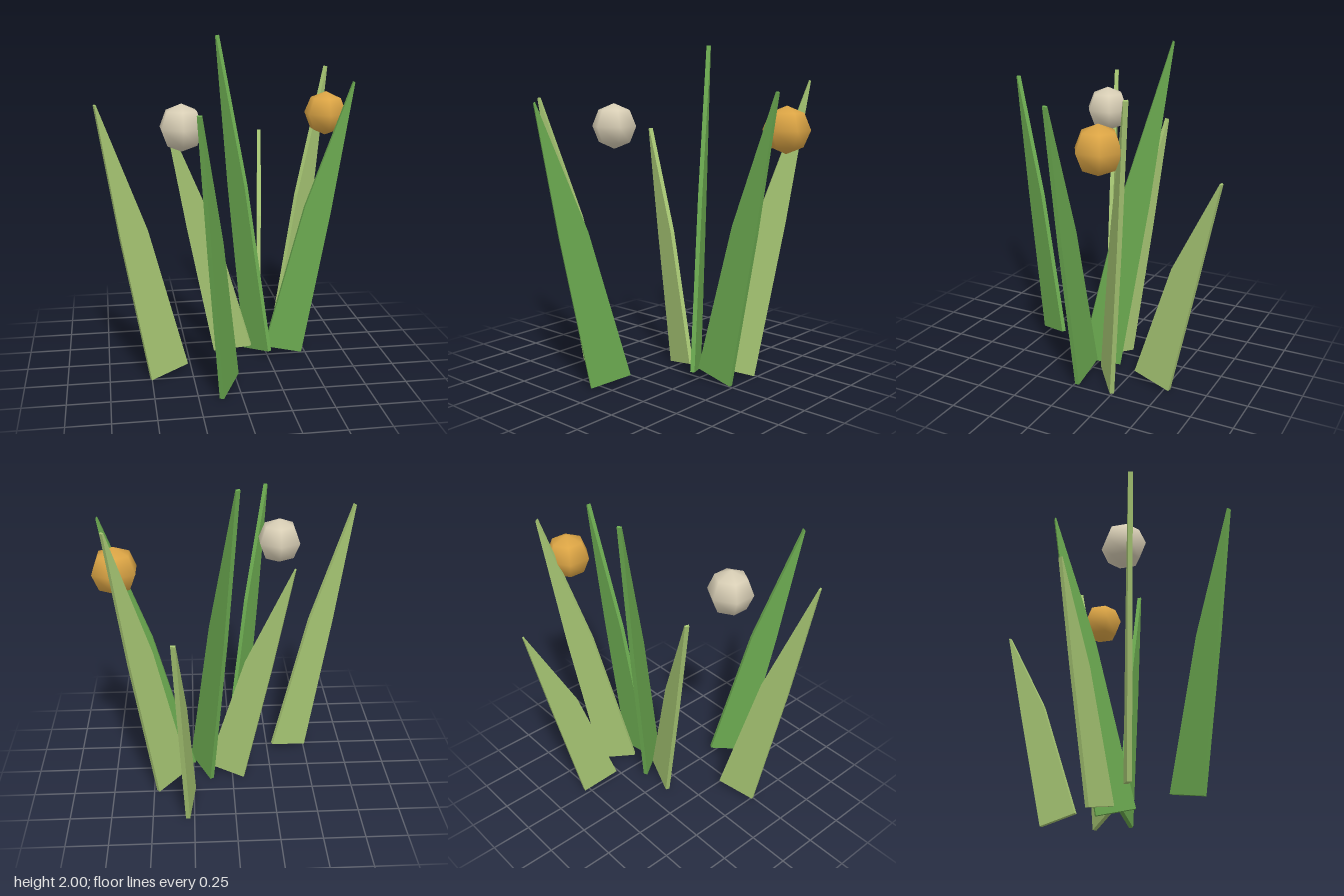
import * as THREE from 'three';

const darkGreen = new THREE.MeshStandardMaterial({ name: 'dark green', color: 0x6aa84f });
const lightGreen = new THREE.MeshStandardMaterial({ name: 'light green', color: 0xa5c472 });
const orange = new THREE.MeshStandardMaterial({ name: 'orange', color: 0xdca545 });
const cream = new THREE.MeshStandardMaterial({ name: 'cream', color: 0xd9cfb6 });

const THICKNESS = 0.026;

// Flat, bent blade leaning outward along +x, starting at its inner base corner
function bladeGeometry(height) {
  const bend = 0.46 * height + 0.17;
  const shape = new THREE.Shape([
    [0.003, 0.06], [0.243, 0.005], [0.412, bend - 0.035], [0.538, height - 0.006], [0.53, height], [0.246, bend],
  ].map(([x, y]) => new THREE.Vector2(x, y)));
  const geometry = new THREE.ExtrudeGeometry(shape, { depth: THICKNESS, bevelEnabled: false });
  return geometry.translate(0, 0, -THICKNESS / 2);
}

// inner x, inner z, tip x, tip z, height, material
const BLADES = [
  [0.25, -0.292, 0.338, -0.82, 1.325, lightGreen],
  [0.29, -0.092, 0.70, -0.437, 1.795, lightGreen],
  [0.255, 0.077, -0.015, -0.387, 2.0, darkGreen],
  [0.155, -0.035, -0.35, -0.212, 1.48, lightGreen],
  [0.0, 0.345, -0.265, 0.81, 1.68, darkGreen],
  [-0.277, 0.167, -0.78, 0.35, 1.68, lightGreen],
  [0.233, -0.015, 0.77, -0.015, 1.74, darkGreen],
];

// x, y, z, material, name
const BALLS = [
  [-0.295, 1.515, 0.17, cream, 'creamFlowerHead'],
  [0.661, 1.515, -0.264, orange, 'orangeFlowerHead'],
];

export function createModel() {
  const model = new THREE.Group();
  model.name = 'grassTuft';

  BLADES.forEach(([x, z, tipX, tipZ, height, material], i) => {
    const blade = new THREE.Mesh(bladeGeometry(height), material);
    blade.name = `grassBlade${i + 1}`;
    blade.position.set(x, 0, z);
    blade.rotation.y = Math.atan2(z - tipZ, tipX - x);
    model.add(blade);
  });

  // Low-poly flower heads
  for (const [x, y, z, material, name] of BALLS) {
    const ball = new THREE.Mesh(new THREE.SphereGeometry(0.138, 6, 4), material);
    ball.name = name;
    ball.position.set(x, y, z);
    ball.rotation.y = Math.PI / 2;
    model.add(ball);
  }
  return model;
}
